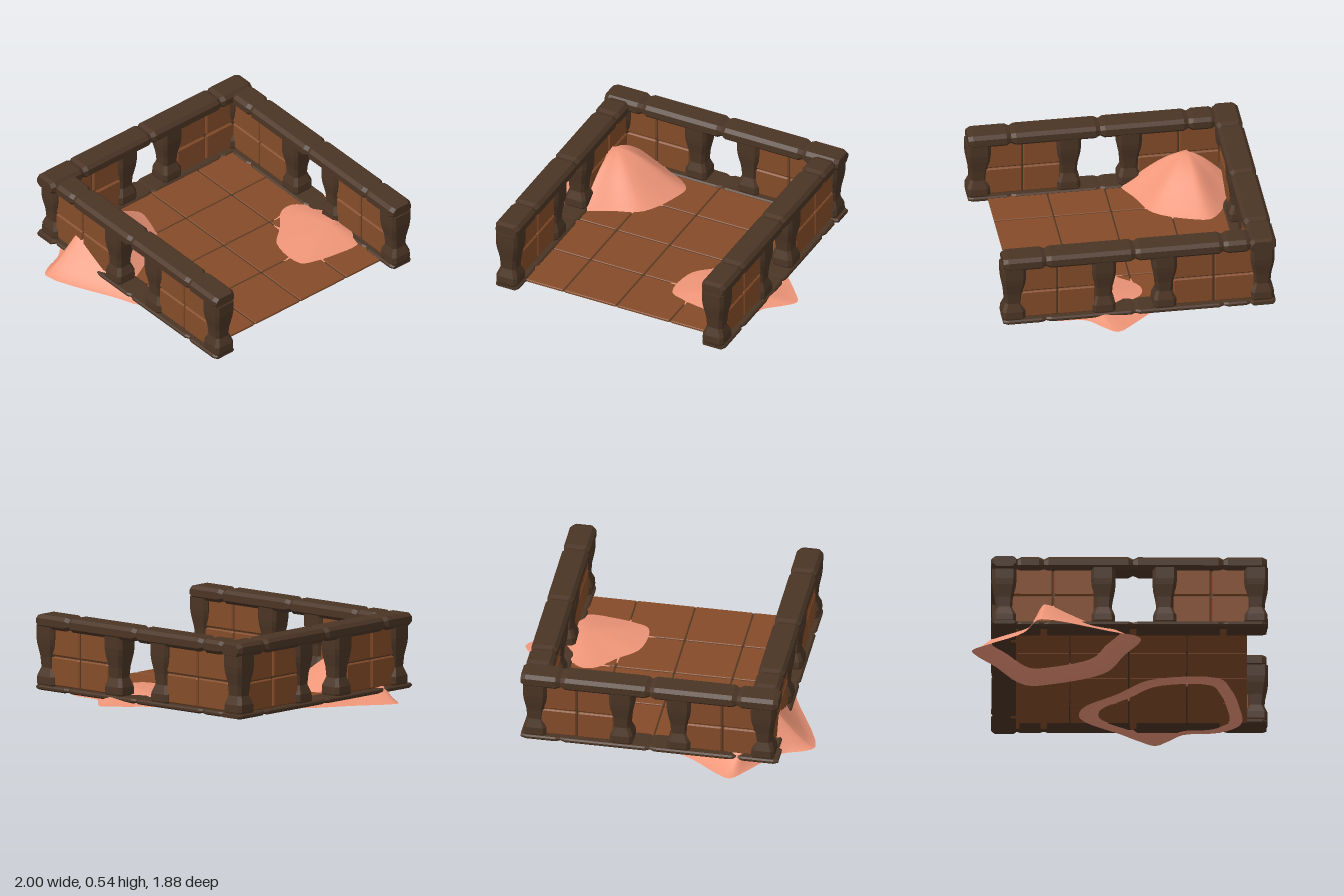
import * as THREE from 'three';

const wood = new THREE.MeshStandardMaterial({ color: 0x4b3525, flatShading: true });
const clay = new THREE.MeshStandardMaterial({ color: 0x854c29, flatShading: true });
const sand = new THREE.MeshStandardMaterial({ color: 0xee9578, side: THREE.DoubleSide });

// Closed solid through chamfered rectangles stacked along y: [y, halfX, halfZ, chamfer]
function loft(rings) {
  const pos = [], idx = [];
  for (const [y, a, b, c] of rings) {
    const pts = [[a, -b + c], [a, b - c], [a - c, b], [-a + c, b], [-a, b - c], [-a, -b + c], [-a + c, -b], [a - c, -b]];
    for (const [x, z] of pts) pos.push(x, y, z);
  }
  const top = (rings.length - 1) * 8, cap = rings.length * 8;
  pos.push(0, rings[0][0], 0, 0, rings[rings.length - 1][0], 0);
  for (let j = 0; j < 8; j++) {
    const k = (j + 1) % 8;
    for (let r = 0; r < top; r += 8) {
      idx.push(r + j, r + 8 + j, r + k, r + k, r + 8 + j, r + 8 + k);
    }
    idx.push(cap, j, k, cap + 1, top + k, top + j);
  }
  const g = new THREE.BufferGeometry();
  g.setAttribute('position', new THREE.Float32BufferAttribute(pos, 3));
  g.setIndex(idx);
  g.computeVertexNormals();
  return g;
}

function add(parent, name, geometry, material, x, y, z) {
  const mesh = new THREE.Mesh(geometry, material);
  mesh.name = name;
  mesh.position.set(x, y, z);
  parent.add(mesh);
  return mesh;
}

// Bevelled slab whose thickness runs along y
function slab(w, t, d, bevel) {
  const a = w / 2, b = d / 2, h = t / 2;
  return loft([
    [-h, a - bevel, b - bevel, 0.004], [-h + bevel, a, b, 0.006],
    [h - bevel, a, b, 0.006], [h, a - bevel, b - bevel, 0.004],
  ]);
}

// Beam with pinched ends; thickness h, width w, length along x
function beam(len, h, w) {
  const l = len / 2, a = h / 2, b = w / 2, c = Math.min(0.022, h * 0.3);
  const e = Math.min(0.03, len / 4), s = a * 0.78, t = b * 0.85;
  return loft([[-l, s, t, c], [-l + e, a, b, c], [l - e, a, b, c], [l, s, t, c]]).rotateZ(-Math.PI / 2);
}

// Pillar with a wide head, narrow waist and flared foot
function pillar() {
  return loft([
    [0.075, 0.066, 0.066, 0.02], [0.1, 0.075, 0.075, 0.02], [0.145, 0.073, 0.073, 0.02],
    [0.2, 0.053, 0.053, 0.018], [0.27, 0.058, 0.058, 0.018], [0.35, 0.073, 0.073, 0.02],
    [0.39, 0.077, 0.077, 0.02], [0.47, 0.077, 0.077, 0.02],
  ]);
}

// Tiled wall panel from x0 to x1, two rows high
function panel(parent, x0, x1) {
  const cols = 2, w = (x1 - x0) / cols;
  add(parent, 'panelCore', new THREE.BoxGeometry(x1 - x0, 0.38, 0.07), wood, (x0 + x1) / 2, 0.275, 0);
  for (let i = 0; i < cols; i++) {
    for (const y of [0.185, 0.378]) {
      const g = slab(w - 0.008, 0.1, 0.186, 0.008).rotateX(Math.PI / 2);
      add(parent, 'wallTile', g, clay, x0 + (i + 0.5) * w, y, 0);
    }
  }
}

// A wall along local x: beams between joints, pillars, panels and a sill
function wall(name, joints, pillars, panels) {
  const g = new THREE.Group();
  g.name = name;
  for (let i = 0; i + 1 < joints.length; i++) {
    const len = joints[i + 1] - joints[i], mid = (joints[i] + joints[i + 1]) / 2;
    add(g, 'topBeam', beam(len, 0.088, 0.17), wood, mid, 0.498, 0);
    add(g, 'sill', beam(len, 0.03, 0.165), wood, mid, 0.074, 0);
  }
  for (const x of pillars) add(g, 'pillar', pillar(), wood, x, 0, 0);
  for (const [a, b] of panels) panel(g, a, b);
  return g;
}

// Sand drift: an outline scaled towards its peak, following a height profile
function drift(parent, name, outline, cx, cz, base, height) {
  const curve = new THREE.CatmullRomCurve3(outline.map(([x, z]) => new THREE.Vector3(x, 0, z)), true, 'centripetal');
  const n = 64, rim = curve.getPoints(n).slice(0, n);
  const profile = [[0.1, 0.97], [0.2, 0.89], [0.3, 0.78], [0.4, 0.65], [0.5, 0.51], [0.6, 0.38],
    [0.7, 0.26], [0.8, 0.15], [0.9, 0.05], [1, 0]];
  const pos = [cx, base + height, cz], idx = [];
  for (const [t, f] of profile) {
    for (const p of rim) pos.push(cx + (p.x - cx) * t, base + height * f, cz + (p.z - cz) * t);
  }
  for (let j = 0; j < n; j++) {
    const k = (j + 1) % n;
    idx.push(0, 1 + k, 1 + j);
    for (let r = 0; r + 1 < profile.length; r++) {
      const a = 1 + r * n, b = a + n;
      idx.push(a + j, a + k, b + j, a + k, b + k, b + j);
    }
  }
  const g = new THREE.BufferGeometry();
  g.setAttribute('position', new THREE.Float32BufferAttribute(pos, 3));
  g.setIndex(idx);
  g.computeVertexNormals();
  add(parent, name, g, sand, 0, 0, 0);
}

export function createModel() {
  const model = new THREE.Group();
  model.name = 'ruinedRoom';

  // Floor: 4 x 4 bevelled tiles over dark grout
  const floor = new THREE.Group();
  floor.name = 'floor';
  const xs = [-0.74, -0.367, 0.007, 0.385, 0.77], zs = [-0.7, -0.32, 0.052, 0.42, 0.805];
  add(floor, 'grout', new THREE.BoxGeometry(1.5, 0.007, 1.49), wood, 0.015, 0.069, 0.052);
  for (let i = 0; i < 4; i++) {
    for (let j = 0; j < 4; j++) {
      const g = slab(xs[i + 1] - xs[i] - 0.008, 0.018, zs[j + 1] - zs[j] - 0.008, 0.004);
      add(floor, 'floorTile', g, clay, (xs[i] + xs[i + 1]) / 2, 0.069, (zs[j] + zs[j + 1]) / 2);
    }
  }
  model.add(floor);

  // Back wall with both corner pillars
  const back = wall('backWall', [-0.815, -0.55, 0.01, 0.585, 0.84], [-0.715, -0.175, 0.195, 0.75],
    [[-0.69, -0.22], [0.24, 0.72]]);
  back.position.z = -0.735;
  model.add(back);

  // Side walls, local x running towards the back
  for (const [name, x] of [['rightWall', -0.713], ['leftWall', 0.748]]) {
    const side = wall(name, [-0.925, -0.65, -0.08, 0.485, 0.66], [-0.857, -0.28, 0.11],
      [[-0.82, -0.33], [0.16, 0.69]]);
    side.rotation.y = Math.PI / 2;
    side.position.x = x;
    model.add(side);
  }

  // Sand drifts spilling through the walls
  drift(model, 'tallSandDrift', [
    [-1, -0.5], [-0.95, -0.55], [-0.79, -0.62], [-0.62, -0.84], [-0.53, -0.94], [-0.45, -0.91],
    [-0.3, -0.8], [-0.01, -0.6], [-0.03, -0.42], [-0.19, -0.1], [-0.45, 0.02], [-0.69, 0.13], [-0.75, 0.1], [-0.8, -0.02],
  ], -0.63, -0.47, 0.005, 0.305);
  drift(model, 'lowSandDrift', [
    [0.995, 0.22], [0.93, 0.3], [0.83, 0.4], [0.8, 0.62], [0.68, 0.76], [0.4, 0.75], [0.15, 0.7], [-0.02, 0.62],
    [0, 0.2], [0.22, -0.02], [0.43, -0.24], [0.6, -0.25], [0.83, 0.01], [0.92, 0.11],
  ], 0.63, 0.36, 0.05, 0.068);

  return model;
}
